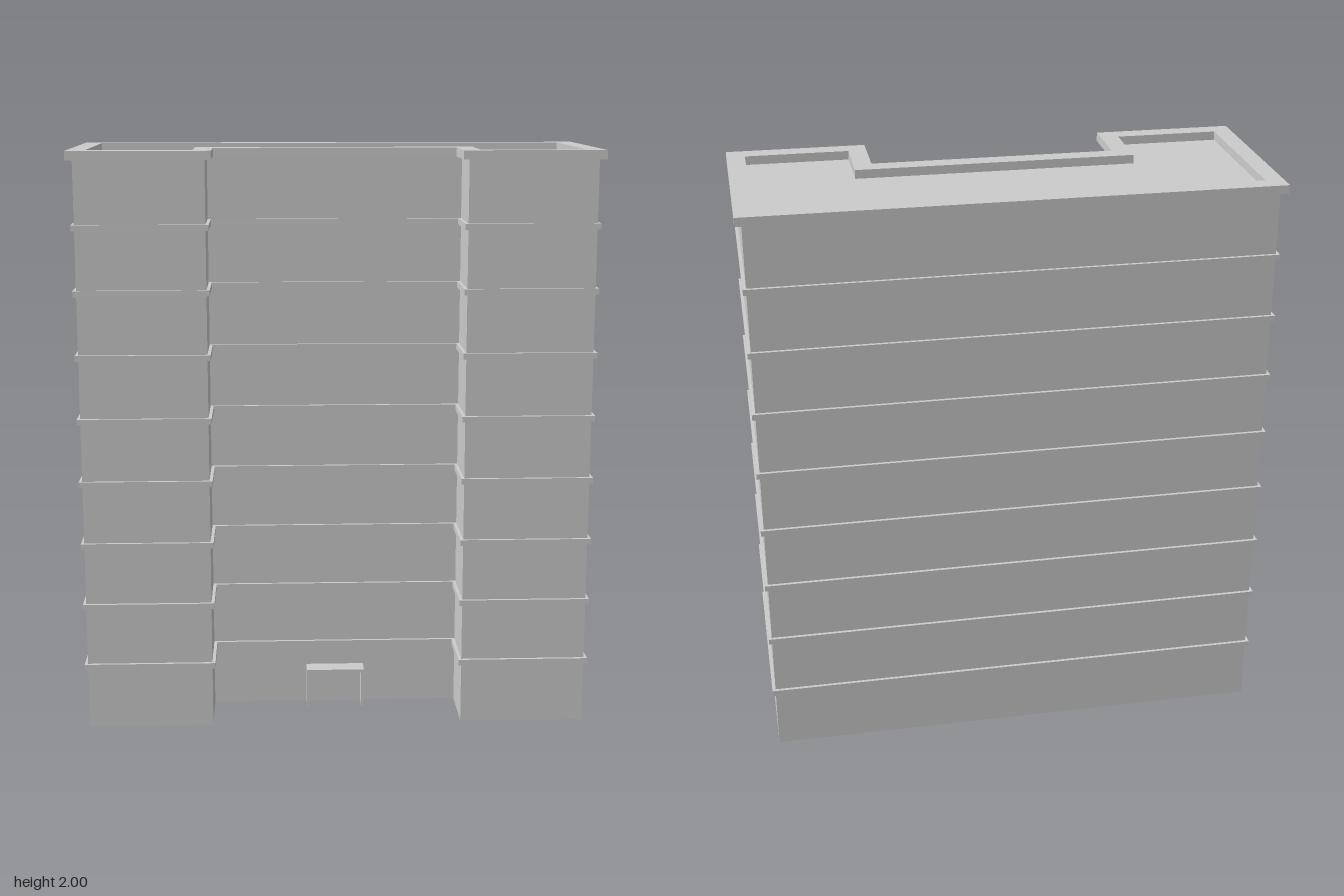
import * as THREE from 'three';

const material = new THREE.MeshStandardMaterial({ color: 0xcccccc });

// U-shaped floor plan, pushed outward by d on every side (shape y = -z)
function plan(d) {
  const x = 0.87 + d, z = 0.325 + d, nx = 0.437 - d, nz = 0.105 + d;
  return [[-x, z], [-nx, z], [-nx, nz], [nx, nz], [nx, z], [x, z], [x, -z], [-x, -z]]
    .map(([px, pz]) => new THREE.Vector2(px, -pz));
}

// Extrude a plan upward from y0 to y1, with an optional inner opening
function storey(name, outer, y0, y1, inner) {
  const shape = new THREE.Shape(plan(outer));
  if (inner !== undefined) shape.holes.push(new THREE.Path(plan(inner)));
  const geometry = new THREE.ExtrudeGeometry(shape, { depth: y1 - y0, bevelEnabled: false });
  geometry.rotateX(-Math.PI / 2);
  geometry.translate(0, y0, 0);
  const mesh = new THREE.Mesh(geometry, material);
  mesh.name = name;
  return mesh;
}

function box(name, w, h, d, x, y, z) {
  const mesh = new THREE.Mesh(new THREE.BoxGeometry(w, h, d), material);
  mesh.position.set(x, y, z);
  mesh.name = name;
  return mesh;
}

export function createModel() {
  const model = new THREE.Group();
  model.name = 'apartmentBlock';

  // Main walls with the flat roof
  model.add(storey('walls', 0, 0, 1.97));

  // Ledge at each floor level
  for (let i = 1; i <= 8; i++) {
    const y = 0.004 + i * 0.218;
    model.add(storey('floorLedge' + i, 0.011, y - 0.01, y + 0.01, -0.02));
  }

  // Raised rim around the roof
  model.add(storey('parapet', 0.022, 1.97, 2, -0.04));

  // Entrance porch: slab on two side panels
  const porch = new THREE.Group();
  porch.name = 'entrancePorch';
  porch.add(box('porchRoof', 0.206, 0.012, 0.065, 0, 0.134, 0.1375));
  for (const side of [-1, 1]) {
    porch.add(box(side > 0 ? 'leftPorchPanel' : 'rightPorchPanel', 0.01, 0.128, 0.065, side * 0.098, 0.064, 0.1375));
  }
  model.add(porch);

  return model;
}
